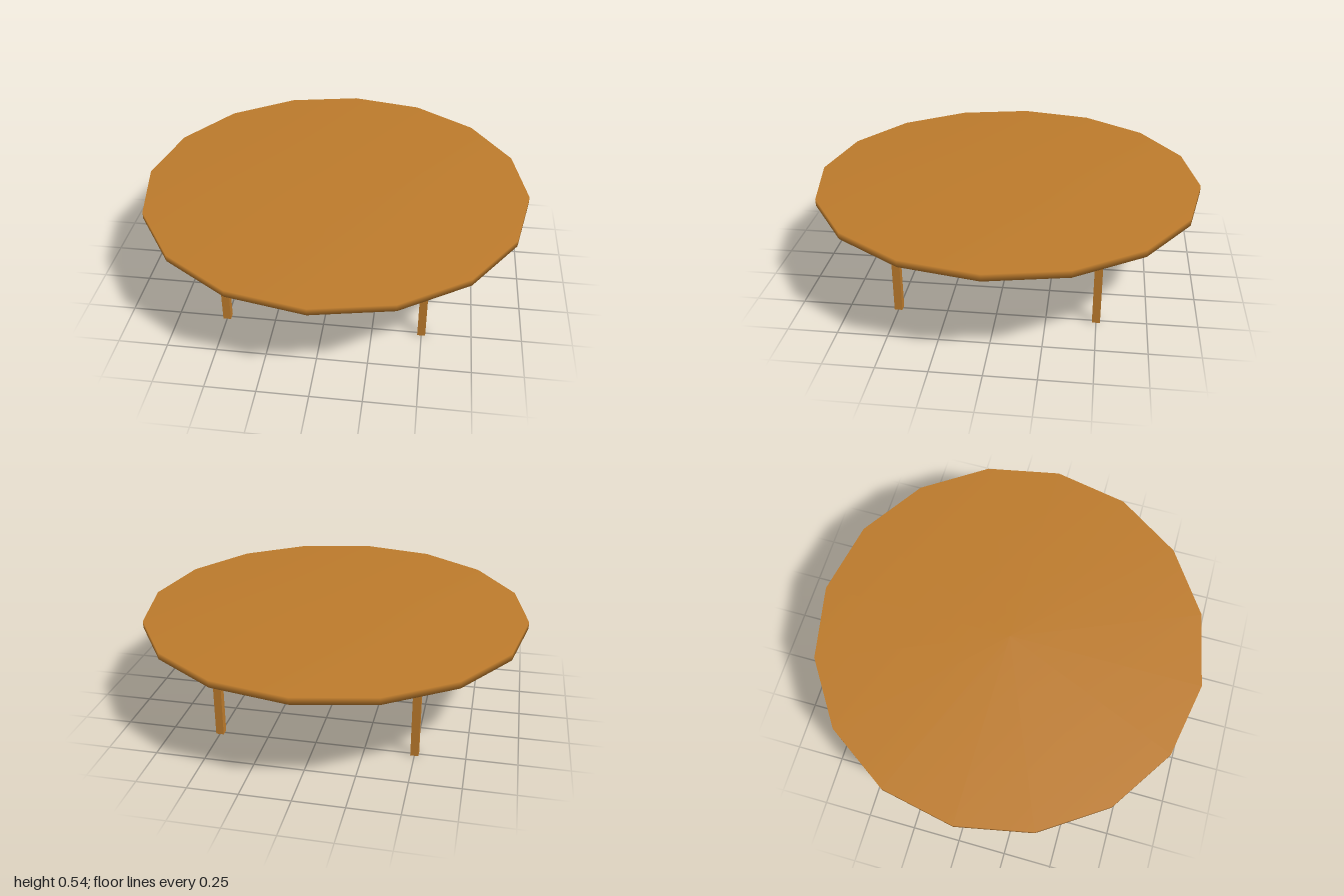
import * as THREE from 'three';
import { mergeVertices } from 'three/addons/utils/BufferGeometryUtils.js';

export function createModel() {
  const table = new THREE.Group();
  table.name = 'roundTable';
  const wood = new THREE.MeshStandardMaterial({ color: 0xbd7b2c });
  wood.name = 'warmWood';

  const legHeight = 0.5, legWidth = 0.04, legOffset = 0.5, topThickness = 0.035;

  // Sixteen-sided top, with normals shared across the rim for a soft edge
  let disc = new THREE.CylinderGeometry(1, 1, topThickness, 16);
  disc.deleteAttribute('normal');
  disc.deleteAttribute('uv');
  disc = mergeVertices(disc, 1e-4);
  disc.computeVertexNormals();
  const top = new THREE.Mesh(disc, wood);
  top.name = 'tableTop';
  top.position.y = legHeight + topThickness / 2;
  table.add(top);

  // Four square legs
  const legShape = new THREE.BoxGeometry(legWidth, legHeight, legWidth);
  for (const [zName, z] of [['front', 1], ['back', -1]]) {
    for (const [xName, x] of [['Left', 1], ['Right', -1]]) {
      const leg = new THREE.Mesh(legShape, wood);
      leg.name = `${zName}${xName}Leg`;
      leg.position.set(x * legOffset, legHeight / 2, z * legOffset);
      table.add(leg);
    }
  }
  return table;
}
